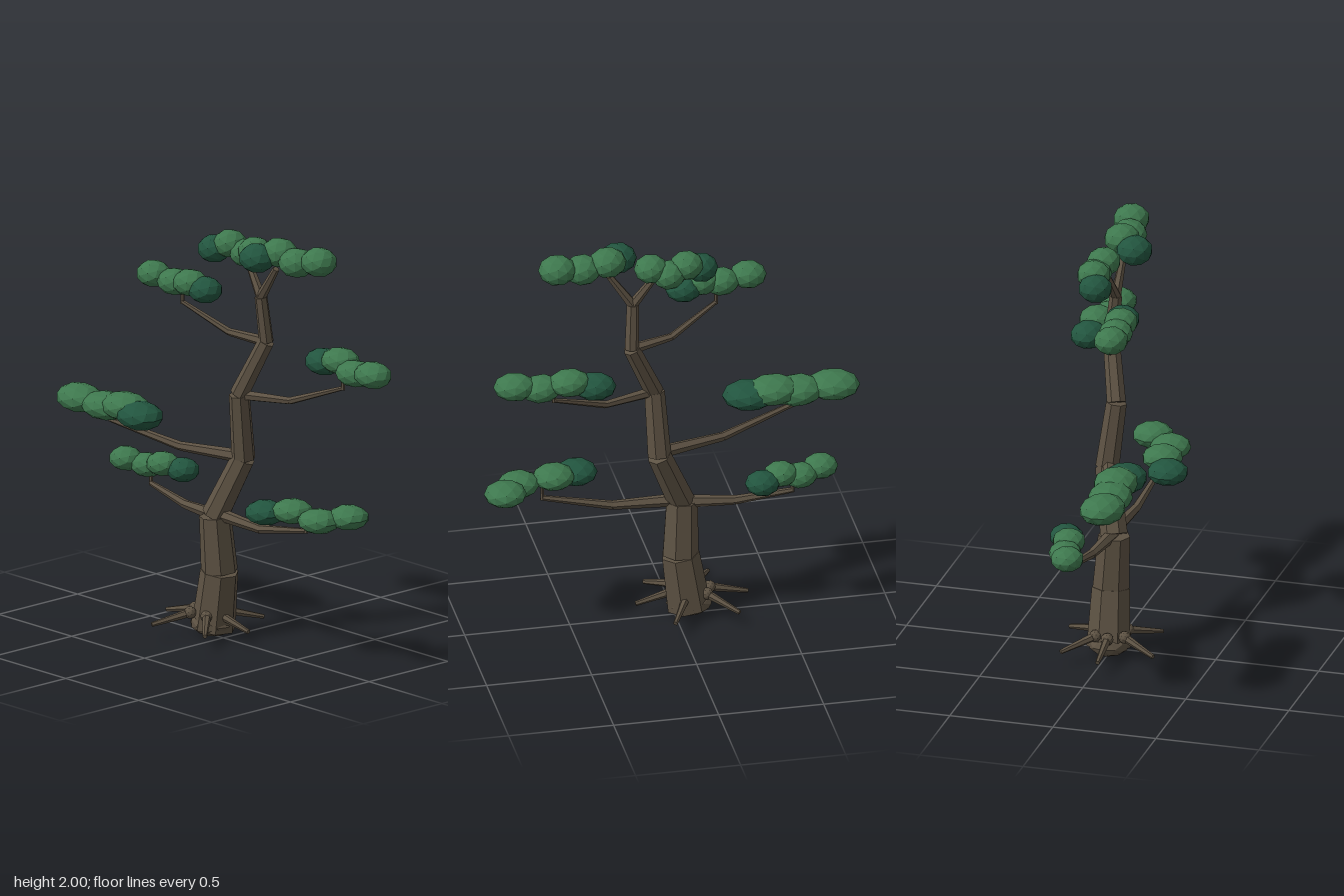
import * as THREE from 'three';

export function createModel() {
  const tree = new THREE.Group();
  tree.name = 'tree';
  const mat = (name, color) => {
    const m = new THREE.MeshStandardMaterial({ color, flatShading: true });
    m.name = name;
    return m;
  };
  const bark = mat('bark', 0x5d5243);
  const leaf = mat('leaf green', 0x3e784e);
  const darkLeaf = mat('dark leaf green', 0x22553f);
  const up = new THREE.Vector3(0, 1, 0);

  const group = (name) => {
    const g = new THREE.Group();
    g.name = name;
    tree.add(g);
    return g;
  };

  // tapered wooden piece between two points
  function limb(name, parent, a, b, r0, r1, sides = 6) {
    const A = new THREE.Vector3(...a), B = new THREE.Vector3(...b);
    const dir = B.clone().sub(A);
    const m = new THREE.Mesh(new THREE.CylinderGeometry(r1, r0, dir.length(), sides), bark);
    m.position.copy(A).add(B).multiplyScalar(0.5);
    m.quaternion.setFromUnitVectors(up, dir.normalize());
    m.name = name;
    parent.add(m);
  }

  // faceted ellipsoid
  function blob(name, parent, material, p, r) {
    const m = new THREE.Mesh(new THREE.IcosahedronGeometry(1, 1), material);
    m.position.set(...p);
    m.scale.set(...r);
    m.name = name;
    parent.add(m);
    return m;
  }

  // trunk: bent stack of segments, each tapering a little and stepping in at the joint
  const trunk = group('trunk');
  const joints = [
    [-0.065, 0.04, 0], [-0.025, 0.32, 0], [-0.035, 0.59, 0.018], [0.085, 0.88, -0.05],
    [0.1, 1.2, -0.01], [0.22, 1.47, -0.07], [0.21, 1.69, -0.045],
  ];
  const radii = [0.105, 0.088, 0.066, 0.057, 0.046, 0.035];
  radii.forEach((r, i) => limb('trunkSegment', trunk, joints[i], joints[i + 1], r, r * 0.87, 7));
  limb('fork', trunk, joints[6], [0.11, 1.83, -0.06], 0.025, 0.016);
  limb('fork', trunk, joints[6], [0.32, 1.85, -0.04], 0.025, 0.016);

  // root flare and six spreading roots
  const roots = group('roots');
  blob('rootFlare', roots, bark, [-0.07, 0.06, 0.005], [0.11, 0.06, 0.1]);
  for (let i = 0; i < 6; i++) {
    const a = (i * Math.PI) / 3 - 0.07 + 0.18 * (i % 3 === 1 ? -1 : 0.2);
    const at = (r, y) => [-0.085 + r * Math.cos(a), y, 0.02 + r * Math.sin(a)];
    blob('rootKnot', roots, bark, at(0.085, 0.115), [0.03, 0.03, 0.03]);
    limb('root', roots, at(0.085, 0.115), at(0.27, 0.07), 0.021, 0.011);
  }

  // branch: base, elbow and tip, then a short upright twig
  function branch(a, b, c, top, s) {
    const g = group('branch');
    limb('branchInner', g, a, b, 0.032 * s, 0.022 * s);
    limb('branchOuter', g, b, c, 0.022 * s, 0.013 * s);
    limb('twig', g, [c[0], c[1] - 0.01, c[2]], [c[0], top, c[2]], 0.01, 0.009);
  }
  branch([-0.04, 0.59, 0.01], [-0.28, 0.585, -0.02], [-0.55, 0.625, -0.05], 0.68, 1);
  branch([-0.03, 0.6, 0.01], [0.29, 0.595, 0.03], [0.62, 0.66, 0.05], 0.72, 1);
  branch([0.08, 0.89, -0.04], [-0.24, 0.89, 0.05], [-0.6, 0.965, 0.16], 1.02, 1);
  branch([0.1, 1.2, -0.01], [0.35, 1.205, -0.1], [0.615, 1.305, -0.19], 1.37, 0.82);
  branch([0.22, 1.47, -0.07], [0.02, 1.485, -0.02], [-0.21, 1.6, 0.065], 1.68, 0.82);

  // foliage pad: a row of equal puffs, the first one dark
  function pad(size, ...centres) {
    const g = group('foliagePad');
    centres.forEach((p, i) => {
      const puff = blob('puff', g, i ? leaf : darkLeaf, p, size);
      puff.rotation.y = 0.15 * (i % 3 - 1);
    });
  }
  // lower left and lower right
  pad([0.082, 0.058, 0.078], [-0.395, 0.71, -0.11], [-0.49, 0.728, -0.07], [-0.585, 0.705, -0.06], [-0.69, 0.722, -0.02]);
  pad([0.1, 0.058, 0.097], [0.44, 0.73, 0.14], [0.56, 0.75, 0.08], [0.73, 0.735, 0.07], [0.815, 0.75, -0.04]);
  // middle left and middle right
  pad([0.128, 0.067, 0.105], [-0.39, 1.03, 0.17], [-0.5, 1.05, 0.16], [-0.62, 1.03, 0.17], [-0.79, 1.035, 0.18]);
  pad([0.1, 0.063, 0.085], [0.43, 1.385, -0.24], [0.55, 1.415, -0.235], [0.68, 1.385, -0.21], [0.805, 1.405, -0.205]);
  // upper left
  pad([0.087, 0.064, 0.08], [-0.055, 1.69, 0.065], [-0.14, 1.71, 0.08], [-0.24, 1.695, 0.085], [-0.37, 1.71, 0.1]);
  // crown, one pad per fork
  pad([0.08, 0.067, 0.08], [-0.115, 1.855, -0.05], [-0.04, 1.89, -0.08], [0.05, 1.86, -0.1], [0.13, 1.89, -0.08]);
  pad([0.089, 0.07, 0.085], [0.265, 1.905, 0.03], [0.33, 1.93, -0.05], [0.45, 1.905, -0.05], [0.575, 1.93, -0.075]);
  return tree;
}
